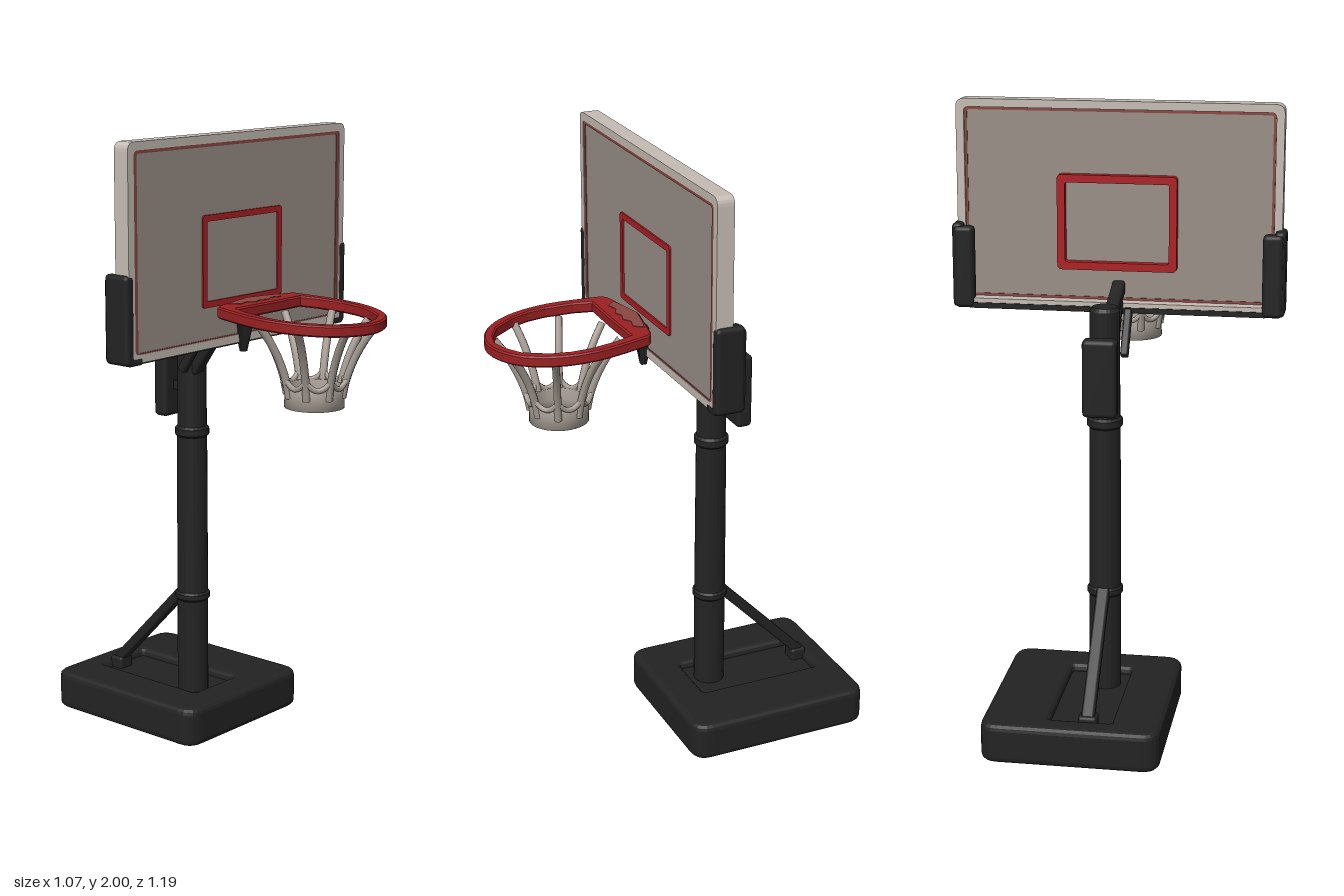
import * as THREE from 'three';
import { RoundedBoxGeometry } from 'three/addons/geometries/RoundedBoxGeometry.js';

const mat = (name, color) => Object.assign(new THREE.MeshStandardMaterial({ color }), { name });

export function createModel() {
  const black = mat('black plastic', 0x232323);
  const red = mat('rim red', 0x9a2022);
  const brightRed = mat('target red', 0xac1f24);
  const dullRed = mat('faded red', 0x8a4742);
  const panelGrey = mat('panel grey', 0x9a8f87);
  const frameGrey = mat('frame grey', 0xc6bdb4);
  const netGrey = mat('net grey', 0xa89f96);

  const model = new THREE.Group();
  model.name = 'basketballHoop';
  const add = (name, geometry, material, x = 0, y = 0, z = 0) => {
    const mesh = new THREE.Mesh(geometry, material);
    mesh.name = name;
    mesh.position.set(x, y, z);
    model.add(mesh);
    return mesh;
  };
  const box = (name, material, x0, x1, y0, y1, z0, z1, r = 0) => {
    const s = [x1 - x0, y1 - y0, z1 - z0];
    const g = r ? new RoundedBoxGeometry(...s, 2, r) : new THREE.BoxGeometry(...s);
    return add(name, g, material, (x0 + x1) / 2, (y0 + y1) / 2, (z0 + z1) / 2);
  };
  // Box-section bar from a to b
  const bar = (name, material, a, b, w, h) => {
    const p = new THREE.Vector3(...a), q = new THREE.Vector3(...b);
    const mesh = add(name, new RoundedBoxGeometry(w, h, p.distanceTo(q), 2, Math.min(w, h) * 0.25), material);
    mesh.position.copy(p).lerp(q, 0.5);
    mesh.lookAt(q);
    return mesh;
  };
  const roundRect = (path, x0, x1, y0, y1, r) => {
    path.moveTo(x0 + r, y0).lineTo(x1 - r, y0).quadraticCurveTo(x1, y0, x1, y0 + r);
    path.lineTo(x1, y1 - r).quadraticCurveTo(x1, y1, x1 - r, y1);
    path.lineTo(x0 + r, y1).quadraticCurveTo(x0, y1, x0, y1 - r);
    path.lineTo(x0, y0 + r).quadraticCurveTo(x0, y0, x0 + r, y0);
    return path;
  };
  // Rectangular ring, t wide, lying between z0 and z1
  const ring = (name, material, x0, x1, y0, y1, r, t, z0, z1) => {
    const shape = roundRect(new THREE.Shape(), x0, x1, y0, y1, r);
    shape.holes.push(roundRect(new THREE.Path(), x0 + t, x1 - t, y0 + t, y1 - t, r * 0.6));
    const g = new THREE.ExtrudeGeometry(shape, { depth: z1 - z0, bevelEnabled: false, curveSegments: 5 });
    return add(name, g, material, 0, 0, z0);
  };

  // Base with a sunken channel for the pole and brace
  const baseShape = roundRect(new THREE.Shape(), -0.22, 0.35, -0.595, 0.04, 0.06);
  baseShape.holes.push(roundRect(new THREE.Path(), -0.06, 0.138, -0.51, -0.085, 0.012));
  const baseGeo = new THREE.ExtrudeGeometry(baseShape, {
    depth: 0.09, bevelThickness: 0.02, bevelSize: 0.02, bevelOffset: -0.02, bevelSegments: 3, curveSegments: 5,
  });
  baseGeo.rotateX(Math.PI / 2);
  add('base', baseGeo, black, 0, 0.11, 0);
  box('baseChannelFloor', black, -0.1, 0.18, 0, 0.105, -0.55, -0.045);

  // Pole with collars and a softly rounded cap
  const px = 0.015, pz = -0.16;
  const poleProfile = [
    [0, 0.09], [0.052, 0.09], [0.052, 0.425], [0.058, 0.432], [0.058, 0.448], [0.052, 0.455],
    [0.05, 0.99], [0.057, 0.997], [0.057, 1.018], [0.049, 1.026], [0.048, 1.37], [0.04, 1.382], [0, 1.384],
  ].map(([x, y]) => new THREE.Vector2(x, y));
  const poleGeo = new THREE.LatheGeometry(poleProfile, 24).toNonIndexed();
  poleGeo.computeVertexNormals();
  add('pole', poleGeo, black, px, 0, pz);

  // Rear brace and its foot
  bar('rearBrace', black, [px, 0.455, -0.19], [px, 0.125, -0.51], 0.042, 0.034);
  box('braceFoot', black, -0.015, 0.045, 0.09, 0.145, -0.525, -0.47, 0.01);

  // Height adjuster behind the pole
  box('adjusterBox', black, -0.04, 0.07, 1.05, 1.3, -0.283, -0.228, 0.015);
  box('adjusterLink', black, 0.0, 0.03, 1.14, 1.17, -0.235, -0.19);

  // Arms carrying the board and rim
  bar('upperArm', black, [0, 1.435, 0.125], [0, 1.35, -0.13], 0.042, 0.045);
  bar('lowerArm', black, [0, 1.375, -0.02], [0, 1.21, -0.135], 0.042, 0.035);
  bar('sideLever', black, [-0.045, 1.35, -0.06], [-0.045, 1.22, -0.15], 0.025, 0.03);
  const gusset = new THREE.CylinderGeometry(0.04, 0.012, 0.13, 4);
  gusset.rotateY(Math.PI / 4);
  add('rimGusset', gusset, black, 0, 1.37, 0.075);

  // Backboard: frame, panel and border lines on both faces
  ring('boardFrame', frameGrey, -0.523, 0.523, 1.335, 2.0, 0.028, 0.026, 0.015, 0.07);
  box('boardPanel', panelGrey, -0.505, 0.505, 1.35, 1.985, 0.025, 0.066);
  ring('borderLineFront', dullRed, -0.496, 0.496, 1.352, 1.977, 0.015, 0.013, 0.064, 0.0685);
  ring('borderLineBack', dullRed, -0.496, 0.496, 1.362, 1.973, 0.015, 0.008, 0.022, 0.027);
  ring('targetFront', brightRed, -0.19, 0.195, 1.465, 1.755, 0.012, 0.02, 0.064, 0.0715);
  ring('targetBack', brightRed, -0.19, 0.195, 1.462, 1.768, 0.015, 0.025, -0.003, 0.027);

  // Bottom ledge and corner pads
  box('bottomLedge', frameGrey, -0.475, 0.475, 1.345, 1.362, -0.022, 0.02);
  box('bottomPad', black, -0.475, 0.475, 1.33, 1.348, -0.025, 0.064);
  for (const [side, s] of [['left', 1], ['right', -1]]) {
    const span = (a, b) => (s > 0 ? [a, b] : [-b, -a]);
    box(side + 'CornerPad', black, ...span(0.5, 0.537), 1.33, 1.605, -0.022, 0.073, 0.014);
    box(side + 'CornerPadBack', black, ...span(0.465, 0.53), 1.33, 1.595, -0.03, 0.018, 0.014);
    box(side + 'CornerPadFoot', black, ...span(0.465, 0.525), 1.328, 1.35, -0.02, 0.073, 0.008);
  }

  // Rim: flat ring with a straight back plate, rising slightly to the board
  const mirrored = (half) => [...half, ...half.slice(1, -1).reverse().map(([x, z]) => [-x, z])]
    .map(([x, z]) => new THREE.Vector2(x, z));
  const smooth = (half) => new THREE.SplineCurve([...mirrored(half), new THREE.Vector2(...half[0])]).getPoints(60);
  const rimShape = new THREE.Shape(smooth([
    [0, 0.088], [0.1, 0.106], [0.18, 0.125], [0.2, 0.17], [0.224, 0.32], [0.2, 0.45], [0.125, 0.55], [0, 0.593],
  ]));
  rimShape.holes.push(new THREE.Path(mirrored([
    [0, 0.185], [0.158, 0.183], [0.178, 0.24], [0.19, 0.33], [0.185, 0.39], [0.165, 0.45], [0.115, 0.52], [0.055, 0.553], [0, 0.566],
  ])));
  const tilt = (g) => {
    const p = g.attributes.position;
    for (let i = 0; i < p.count; i++) p.setY(i, p.getY(i) + (0.593 - p.getZ(i)) * 0.05);
    g.computeVertexNormals();
    return g;
  };
  const rimGeo = new THREE.ExtrudeGeometry(rimShape, {
    depth: 0.026, bevelThickness: 0.005, bevelSize: 0.005, bevelOffset: -0.005, bevelSegments: 1,
  });
  rimGeo.rotateX(Math.PI / 2);
  add('rim', tilt(rimGeo), red, -0.003, 1.45, 0);
  const wearShape = new THREE.Shape(mirrored([
    [0, 0.095], [0.07, 0.108], [0.125, 0.122], [0.1, 0.15], [0.06, 0.14], [0.03, 0.156], [0, 0.145],
  ]));
  const wearGeo = new THREE.ExtrudeGeometry(wearShape, { depth: 0.004, bevelEnabled: false });
  wearGeo.rotateX(Math.PI / 2);
  add('rimBackPlate', tilt(wearGeo), dullRed, -0.003, 1.457, 0);

  // Net: eight curved strands flowing into an open collar
  const nz = 0.365;
  const collar = [[0.084, 1.235], [0.078, 1.2], [0.078, 1.165], [0.095, 1.165], [0.094, 1.2], [0.099, 1.235], [0.084, 1.235]]
    .map(([x, y]) => new THREE.Vector2(x, y));
  add('netCollar', new THREE.LatheGeometry(collar, 32), netGrey, 0, 0, nz);
  for (let i = 0; i < 8; i++) {
    const a = (i + 0.5) * Math.PI / 4, c = Math.cos(a), s = Math.sin(a);
    const r = 0.196;
    const path = new THREE.CatmullRomCurve3([[0.09, 1.2], [0.1, 1.25], [0.125, 1.32], [0.16, 1.385], [r, 1.435]]
      .map(([d, y]) => new THREE.Vector3(c * d, y, s * d)));
    add('netStrand', new THREE.TubeGeometry(path, 14, 0.0125, 8), netGrey, 0, 0, nz);
    // Short web joining neighbouring strands above the collar
    const b = i * Math.PI / 4;
    const web = new THREE.QuadraticBezierCurve3(
      new THREE.Vector3(c * 0.104, 1.262, s * 0.104),
      new THREE.Vector3(Math.cos(b) * 0.095, 1.205, Math.sin(b) * 0.095),
      new THREE.Vector3(Math.cos(a - Math.PI / 4) * 0.104, 1.262, Math.sin(a - Math.PI / 4) * 0.104));
    add('netWeb', new THREE.TubeGeometry(web, 8, 0.009, 6), netGrey, 0, 0, nz);
  }
  return model;
}
